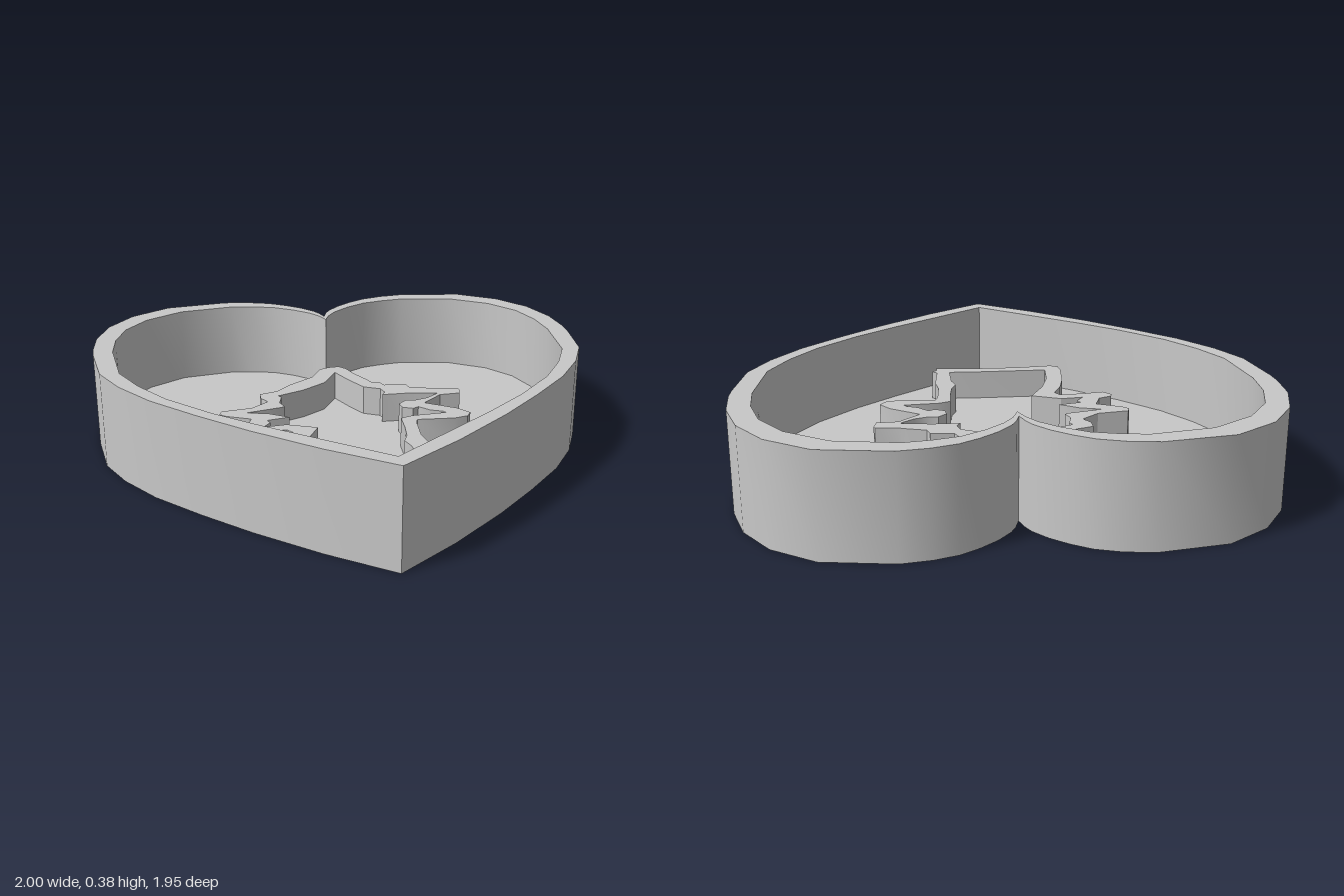
import * as THREE from 'three';
import { toCreasedNormals } from 'three/addons/utils/BufferGeometryUtils.js';

// Plan outlines in hundredths of a unit: x, z pairs.
// The heart outlines run down the +x half, from notch to tip.
const HEART_OUTER = [
  0, -68, 1.5, -73, 3.5, -77, 8.5, -83, 15, -88.5, 22, -93, 31, -96, 42, -97.6, 68, -93.5,
  84, -82.5, 94, -68, 99, -51.5, 100, -36.5, 99.7, -30, 96.5, -6.5, 89.2, 9.5, 78, 26,
  62, 43.5, 45, 60.5, 23, 80, 0, 97.6,
];
const HEART_INNER = [
  0, -63, 2, -68.5, 5.5, -74, 12.5, -80.5, 21, -86, 30, -88.5, 40, -90, 62.5, -86, 78, -75.5,
  87, -62.5, 91, -48, 92, -33, 89, -6, 82, 9.5, 72, 25, 56.5, 42, 40.5, 56.5, 20, 73.5, 0, 90,
];
const TREE_OUTER = [
  -4.5, -52.5, -2, -54, 1.5, -55, 4.5, -55, 7, -52, 9.5, -44.5, 13.5, -36.5, 15, -32.5,
  18, -32.5, 19.5, -28.5, 28.5, -28, 29.5, -24, 37.5, -21.5, 40, -20.5, 49, -19.5, 49.5, -18,
  48.5, -13.5, 40, -13, 31.5, -5, 36.5, -1.5, 43, 3, 47, 8.5, 45, 12, 39.5, 13.5, 24.5, 12.5,
  23.5, 16, 22.5, 27.5, 23.5, 35.5, 22, 50.5, 24, 52.5, 22, 54.5, 22, 57.5, 8, 56, -13, 55.5,
  -29, 57, -32, 55, -32.5, 50.5, -31, 35.5, -28.5, 25, -25, 17.5, -27, 14.5, -37, 15,
  -45, 16.5, -48, 13, -47.5, 10.5, -42, 8, -39.5, 1, -49, -3.5, -51.5, -6, -50.5, -9,
  -38, -11, -31, -17, -33.5, -21, -33.5, -26, -27.5, -28, -25.5, -29, -19.5, -35.5,
  -13, -40.5, -9, -43.5,
];
const TREE_INNER = [
  1.5, -47.5, 6, -36.5, 10.5, -27.5, 17, -24, 18, -20, 16.5, -17, 27, -17, 39.5, -15,
  34, -10.5, 28, -8.5, 24.5, -9, 21, -5.5, 21.5, -1.5, 25.5, 0.5, 28, -1, 32, 3.5, 36.5, 5.5,
  37.5, 7, 23.5, 8, 18.5, 10, 18, 19.5, 17, 27.5, 15, 32.5, 16.5, 38, 16.5, 51, 3, 50.5,
  -25.5, 50.5, -24.5, 38, -21, 26, -15, 14, -26.5, 9, -35.5, 10, -32.5, 6, -33.5, 3.5,
  -24.5, 1.5, -32, -3.5, -40.5, -6, -26.5, -9.5, -25, -10.5, -26.5, -15, -25, -21, -26, -23,
  -15, -28, -5, -35.5,
];

const HEIGHT = 0.385;
const FLOOR = 0.07;
const TREE_TOP = 0.19;

// Number pairs to counter-clockwise shape points; z is flipped because
// the extrusion is laid flat later
function toPoints(flat) {
  const points = [];
  for (let i = 0; i < flat.length; i += 2) {
    points.push(new THREE.Vector2(flat[i] / 100, -flat[i + 1] / 100));
  }
  return points.reverse();
}

// Mirrors a half outline across x = 0 into a closed loop
function mirrored(flat) {
  const half = toPoints(flat);
  const other = half.slice(1, -1).reverse().map((p) => new THREE.Vector2(-p.x, p.y));
  return [...half, ...other];
}

// Upright solid between two heights, with an optional hole
function slab(name, outline, hole, bottom, top, material) {
  const shape = new THREE.Shape(outline);
  if (hole) shape.holes.push(new THREE.Path(hole));
  const extruded = new THREE.ExtrudeGeometry(shape, { depth: top - bottom, bevelEnabled: false });
  extruded.rotateX(-Math.PI / 2);
  extruded.translate(0, bottom, 0);
  const mesh = new THREE.Mesh(toCreasedNormals(extruded, 0.5), material);
  mesh.name = name;
  return mesh;
}

export function createModel() {
  const grey = new THREE.MeshStandardMaterial({ color: 0xc8c8c8 });
  grey.name = 'grey';

  const heartOuter = mirrored(HEART_OUTER);
  const heartInner = mirrored(HEART_INNER);

  const model = new THREE.Group();
  model.name = 'heartTray';
  model.add(
    slab('heartWall', heartOuter, heartInner, 0, HEIGHT, grey),
    slab('trayFloor', heartInner, null, 0, FLOOR, grey),
    // raised outline of a tree standing on the floor
    slab('treeOutline', toPoints(TREE_OUTER), toPoints(TREE_INNER), FLOOR, TREE_TOP, grey),
  );
  return model;
}
